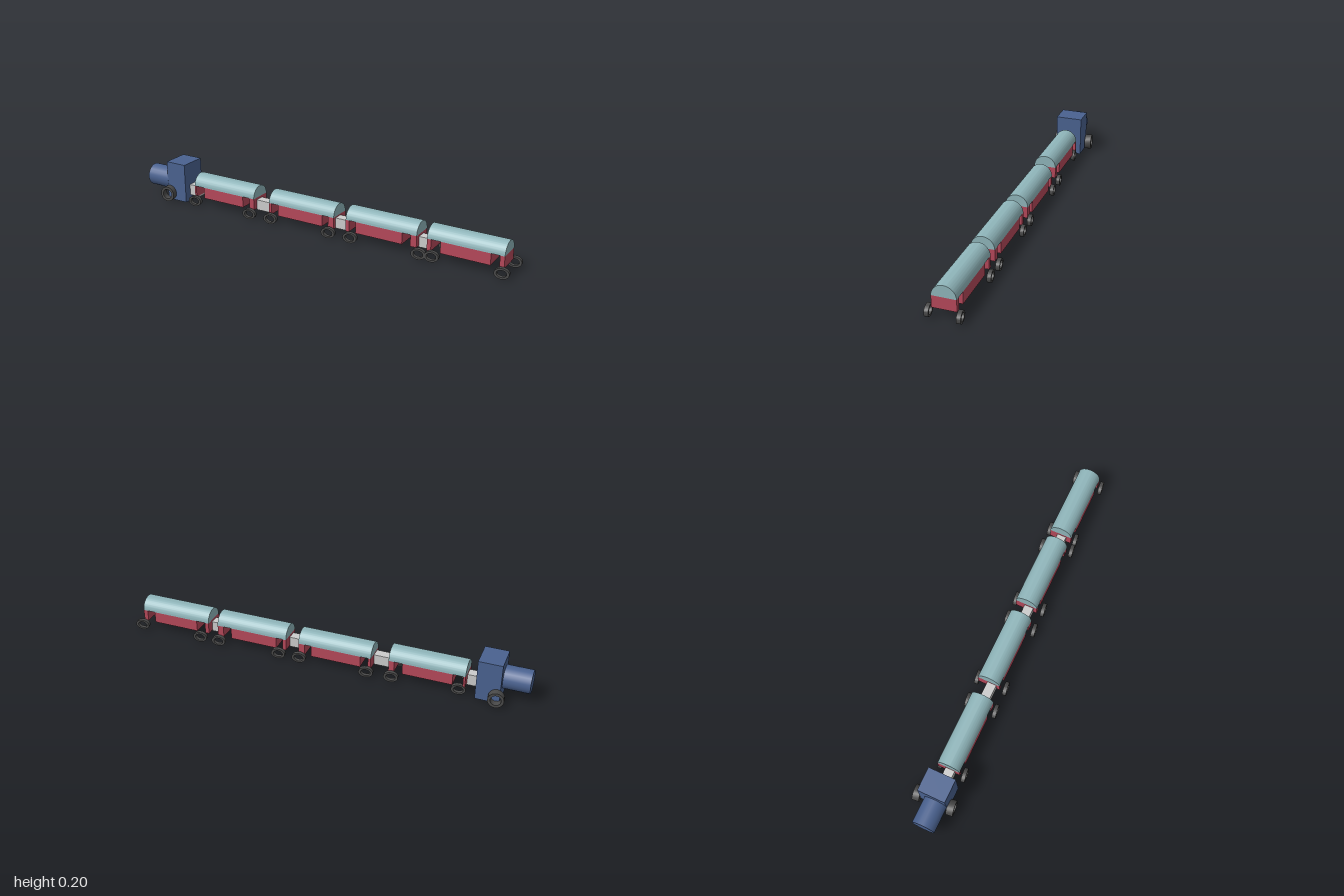
import * as THREE from 'three';
import { toCreasedNormals } from 'three/addons/utils/BufferGeometryUtils.js';

const mat = (color) => new THREE.MeshStandardMaterial({ color });
const blue = mat(0x4a6290), red = mat(0xb5485a), teal = mat(0x8fb5ba);
const rubber = mat(0x4a4a4a), grey = mat(0xcccccc);

function add(parent, name, geometry, material, x, y, z) {
  const mesh = new THREE.Mesh(geometry, material);
  mesh.name = name;
  mesh.position.set(x, y, z);
  parent.add(mesh);
  return mesh;
}

// Box given by its limits on each axis
function block(parent, name, material, [x0, x1], [y0, y1], [z0, z1]) {
  const g = new THREE.BoxGeometry(x1 - x0, y1 - y0, z1 - z0);
  return add(parent, name, g, material, (x0 + x1) / 2, (y0 + y1) / 2, (z0 + z1) / 2);
}

// Hollow ring wheel, axis along z, turned slightly about y
function wheel(parent, name, x, y, z, rx, ry, width) {
  const h = width / 2, inner = 0.66;
  const profile = [[inner, -h], [1, -h], [1, h], [inner, h], [inner, -h]]
    .map(([r, t]) => new THREE.Vector2(r, t));
  const g = new THREE.LatheGeometry(profile, 20).rotateX(Math.PI / 2).scale(rx, ry, 1);
  const mesh = add(parent, name, toCreasedNormals(g, 0.6), rubber, x, y, z);
  mesh.rotation.y = 0.12;
}

// Half-round roof running along x, flat side down
function roof(parent, x0, x1, y, z, r) {
  const s = new THREE.Shape();
  s.absarc(0, 0, r, 0, Math.PI, false);
  s.closePath();
  const g = new THREE.ExtrudeGeometry(s, { depth: x1 - x0, bevelEnabled: false, curveSegments: 20 });
  g.rotateY(Math.PI / 2);
  add(parent, 'roof', toCreasedNormals(g, 0.6), teal, x0, y, z);
}

// Per wagon: left end, roof base height, middle z, wheel-well limits, wheel centres [x, z]
const wagons = [
  { x: -0.709, y: 0.099, z: 0, wells: [0.01, 0.059, 0.3, 0.34],
    wheels: [[-0.695, 0.073], [-0.68, -0.052], [-0.358, 0.073], [-0.36, -0.07]] },
  { x: -0.257, y: 0.094, z: -0.009, wells: [0.014, 0.052, 0.302, 0.335],
    wheels: [[-0.235, 0.07], [-0.238, -0.076], [0.094, 0.07], [0.104, -0.076]] },
  { x: 0.175, y: 0.099, z: -0.01, wells: [0.018, 0.052, 0.294, 0.336],
    wheels: [[0.211, 0.068], [0.211, -0.078], [0.563, 0.066], [0.532, -0.082]] },
  { x: 0.593, y: 0.099, z: -0.0105, wells: [0.02, 0.066, 0.304, 0.345],
    wheels: [[0.625, 0.06], [0.634, -0.082], [0.957, 0.06], [0.962, -0.082]] },
];
const LENGTH = 0.367, RADIUS = 0.056, BODY_HEIGHT = 0.057;

export function createModel() {
  const train = new THREE.Group();
  train.name = 'train';

  // Engine: cab, round boiler and two large wheels
  const engine = new THREE.Group();
  engine.name = 'engine';
  train.add(engine);
  block(engine, 'cab', blue, [-0.874, -0.76], [0.002, 0.204], [-0.066, 0.07]);
  const boiler = new THREE.CylinderGeometry(0.056, 0.056, 0.13, 24).rotateZ(Math.PI / 2);
  add(engine, 'boiler', boiler, blue, -0.935, 0.1, 0.017);
  wheel(engine, 'engineWheelLeft', -0.858, 0.039, 0.085, 0.038, 0.039, 0.034);
  wheel(engine, 'engineWheelRight', -0.861, 0.039, -0.085, 0.038, 0.039, 0.034);

  // Wagons: central body, thin end walls beside the wheel wells, roof, wheels
  wagons.forEach((w, i) => {
    const wagon = new THREE.Group();
    wagon.name = `wagon${i + 1}`;
    train.add(wagon);
    const ys = [w.y - BODY_HEIGHT, w.y], zs = [w.z - RADIUS, w.z + RADIUS];
    const [a, b, c, d] = w.wells.map((t) => w.x + t);
    block(wagon, 'endWall', red, [w.x, a], ys, zs);
    block(wagon, 'body', red, [b, c], ys, zs);
    block(wagon, 'endWall', red, [d, w.x + LENGTH], ys, zs);
    roof(wagon, w.x, w.x + LENGTH, w.y, w.z, RADIUS);
    w.wheels.forEach(([x, z]) => wheel(wagon, 'wagonWheel', x, 0.026, z, 0.035, 0.026, 0.019));
  });

  // Couplings between the vehicles: x limits, bottom, middle z
  [[-0.76, -0.7, 0.032, 0.009], [-0.342, -0.257, 0.036, 0.007],
    [0.11, 0.176, 0.036, 0.005], [0.54, 0.594, 0.036, -0.004]].forEach(([x0, x1, y, z]) =>
    block(train, 'coupling', grey, [x0, x1], [y, 0.088], [z - 0.023, z + 0.023]));

  return train;
}
